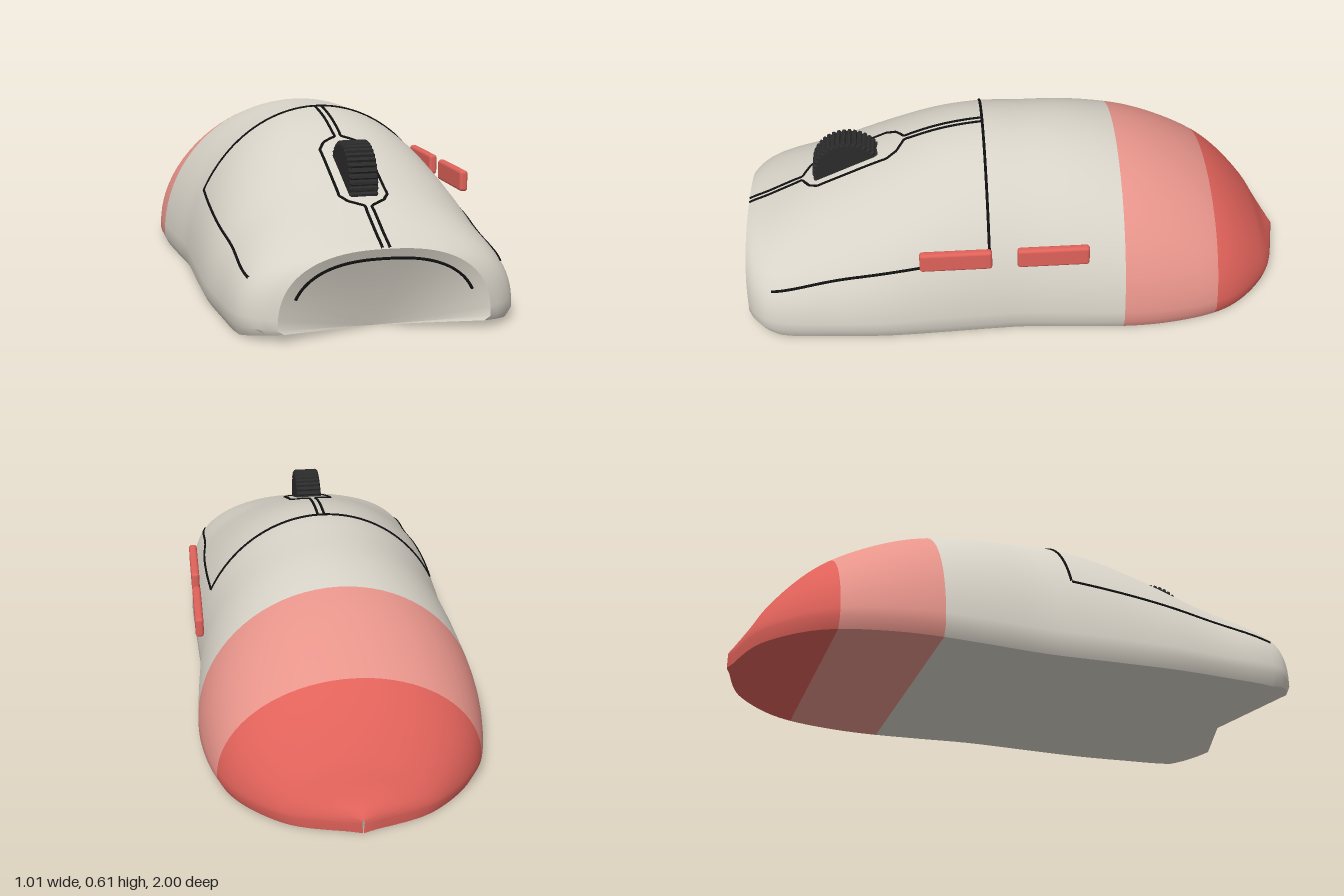
import * as THREE from 'three';
import { toCreasedNormals } from 'three/addons/utils/BufferGeometryUtils.js';
import { RoundedBoxGeometry } from 'three/addons/geometries/RoundedBoxGeometry.js';

const mat = (name, color) => {
  const m = new THREE.MeshStandardMaterial({ color });
  m.name = name;
  return m;
};

// Stations along the body: [z, half width, top height]
const STATIONS = [
  [-1, 0.004, 0.055], [-0.95, 0.2, 0.115], [-0.9, 0.295, 0.2], [-0.8, 0.4, 0.32], [-0.7, 0.457, 0.405],
  [-0.55, 0.493, 0.49], [-0.4, 0.505, 0.548], [-0.2, 0.495, 0.588], [0, 0.48, 0.599], [0.13, 0.482, 0.602],
  [0.3, 0.488, 0.573], [0.5, 0.492, 0.5], [0.7, 0.48, 0.413], [0.85, 0.467, 0.345], [0.93, 0.44, 0.308],
  [0.98, 0.388, 0.288], [1, 0.345, 0.278],
];
const RIM = 0.04; // height of the widest line
const NOSE = 0.88; // where the flat underside ends

// Smooth interpolation of one station column
function at(z, c) {
  const S = STATIONS, n = S.length;
  let i = 0;
  while (i < n - 2 && z > S[i + 1][0]) i++;
  const slope = (k) => {
    const a = S[Math.max(k - 1, 0)], b = S[Math.min(k + 1, n - 1)];
    return (b[c] - a[c]) / (b[0] - a[0]);
  };
  const d = S[i + 1][0] - S[i][0], t = (z - S[i][0]) / d, t2 = t * t, t3 = t2 * t;
  return S[i][c] * (2 * t3 - 3 * t2 + 1) + slope(i) * d * (t3 - 2 * t2 + t)
    + S[i + 1][c] * (3 * t2 - 2 * t3) + slope(i + 1) * d * (t3 - t2);
}

// Arch exponent: elliptical, squarer at the nose
const power = (z) => 1 - 0.2 * THREE.MathUtils.smoothstep(z, 0.6, 1);
const archPoint = (z, t) => {
  const p = power(z), c = Math.cos(t);
  return [
    at(z, 1) * Math.sign(c) * Math.abs(c) ** p,
    RIM + (at(z, 2) - RIM) * Math.max(Math.sin(t), 0) ** p, z];
};
const onTop = (x, z) => {
  const n = 2 / power(z);
  const y = RIM + (at(z, 2) - RIM) * (1 - Math.abs(x / at(z, 1)) ** n) ** (1 / n);
  return new THREE.Vector3(x, y, z);
};
const angleAtHeight = (y, z) => Math.asin(((y - RIM) / (at(z, 2) - RIM)) ** (1 / power(z)));

// Body loft, nose cap and underside, grouped by colour zone
function shellGeometry() {
  const rows = [], zones = [[1, NOSE, 10, 0], [NOSE, -0.355, 30, 0], [-0.355, -0.7, 12, 1], [-0.7, -1, 20, 2]];
  for (const [a, b, n, zone] of zones)
    for (let k = 0; k < n; k++) rows.push({ z: a + (b - a) * k / n, zone });
  rows.push({ z: -1, zone: 2 });

  const ARC = 40, COLS = ARC + 3, pos = [], index = [[], [], []];
  for (const { z } of rows) {
    const inset = Math.max(at(z, 1) - 0.02, 0.001), base = Math.max(z - NOSE, 0) * 0.22;
    pos.push(inset, base, z);
    for (let j = 0; j <= ARC; j++) pos.push(...archPoint(z, Math.PI * j / ARC));
    pos.push(-inset, base, z);
  }
  for (let i = 0; i < rows.length - 1; i++) {
    const list = index[rows[i].zone];
    for (let j = 0; j < COLS - 1; j++) {
      const a = i * COLS + j, b = a + COLS;
      list.push(a, b, a + 1, b, b + 1, a + 1);
    }
    if (i >= 10) { // flat underside
      const a = i * COLS, b = a + COLS, c = a + COLS - 1, d = b + COLS - 1;
      list.push(a, c, b, b, c, d);
    }
  }
  // nose cap: fan from the middle of its lower edge
  const centre = pos.length / 3, loop = [];
  pos.push(0, 0, NOSE);
  for (let i = 10; i > 0; i--) loop.push(i * COLS);
  for (let j = 0; j < COLS; j++) loop.push(j);
  for (let i = 1; i <= 10; i++) loop.push(i * COLS + COLS - 1);
  for (let k = 0; k < loop.length - 1; k++) index[0].push(centre, loop[k], loop[k + 1]);

  const geo = new THREE.BufferGeometry();
  geo.setAttribute('position', new THREE.Float32BufferAttribute(pos, 3));
  geo.setIndex(index.flat());
  let start = 0;
  index.forEach((list, m) => { geo.addGroup(start, list.length, m); start += list.length; });
  return toCreasedNormals(geo, 0.6);
}

// Toothed scroll wheel, axis along x
function wheelGeometry(radius, width) {
  const shape = new THREE.Shape(), teeth = 40;
  for (let i = 0; i < teeth; i++) {
    [[0, 0.94], [0.2, 1], [0.65, 1], [0.85, 0.94]].forEach(([f, s], k) => {
      const a = (i + f) / teeth * Math.PI * 2, r = radius * s;
      shape[i + k ? 'lineTo' : 'moveTo'](Math.cos(a) * r, Math.sin(a) * r);
    });
  }
  const geo = new THREE.ExtrudeGeometry(shape, {
    depth: width - 0.012, bevelEnabled: true, bevelThickness: 0.006, bevelSize: 0.006, bevelOffset: -0.006, bevelSegments: 1,
  });
  return geo.translate(0, 0, 0.006 - width / 2).rotateY(Math.PI / 2);
}

export function createModel() {
  const grey = mat('warm grey shell', 0xd8d3c8);
  const pink = mat('light coral', 0xe8958b);
  const red = mat('coral red', 0xe0625a);
  const rubber = mat('dark rubber', 0x2b2b2b);
  const black = mat('seam black', 0x101010);

  const model = new THREE.Group();
  const add = (name, geo, material) => {
    const mesh = new THREE.Mesh(geo, material);
    mesh.name = name;
    model.add(mesh);
    return mesh;
  };
  const seam = (name, pts) =>
    add(name, new THREE.TubeGeometry(new THREE.CatmullRomCurve3(pts, false, 'centripetal'), pts.length * 3, 0.005, 6), black);
  const steps = (n, f) => Array.from({ length: n + 1 }, (_, i) => f(i / n));

  add('shell', shellGeometry(), [grey, pink, red]);

  // Scroll wheel
  add('scrollWheel', wheelGeometry(0.131, 0.096), rubber).position.set(0, 0.424, 0.62);

  // Thumb buttons on the left flank
  for (const [name, z] of [['frontThumbButton', 0.245], ['rearThumbButton', -0.095]])
    add(name, new RoundedBoxGeometry(0.03, 0.075, 0.252, 3, 0.011), red).position.set(0.48, 0.347, z);

  // Seam across the back of the main buttons
  const end = angleAtHeight(0.31, 0.125);
  seam('crossSeam', steps(40, (f) =>
    new THREE.Vector3(...archPoint(0.125, end + (Math.PI - 2 * end) * f))));

  // Seam around the nose
  seam('noseSeam', steps(30, (f) => {
    const [x, y] = archPoint(1, 0.38 + (Math.PI - 0.76) * f);
    return new THREE.Vector3(x * 0.88, y * 0.88, NOSE + 0.12 * 0.88 + 0.002);
  }));

  for (const s of [1, -1]) {
    const side = s > 0 ? 'left' : 'right';
    // Lower edge of the main button
    seam(side + 'SideSeam', steps(24, (f) => {
      const z = 0.9 - 0.775 * f, y = 0.185 + 0.165 * f - 0.04 * f * f;
      const [x, h] = archPoint(z, angleAtHeight(y, z));
      return new THREE.Vector3(s * x, h, z);
    }));
    // Centre seam, widening around the wheel
    const path = [[0.012, 0.998], [0.012, 0.795], [0.06, 0.765], [0.08, 0.735], [0.08, 0.475], [0.06, 0.44], [0.012, 0.41], [0.012, 0.125]];
    const pts = [];
    for (let i = 0; i < path.length - 1; i++) {
      const [x0, z0] = path[i], [x1, z1] = path[i + 1];
      const n = Math.max(3, Math.round((z0 - z1) * 40));
      for (let k = i ? 1 : 0; k <= n; k++)
        pts.push(onTop(s * (x0 + (x1 - x0) * k / n), z0 + (z1 - z0) * k / n));
    }
    seam(side + 'CentreSeam', pts);
  }
  return model;
}
